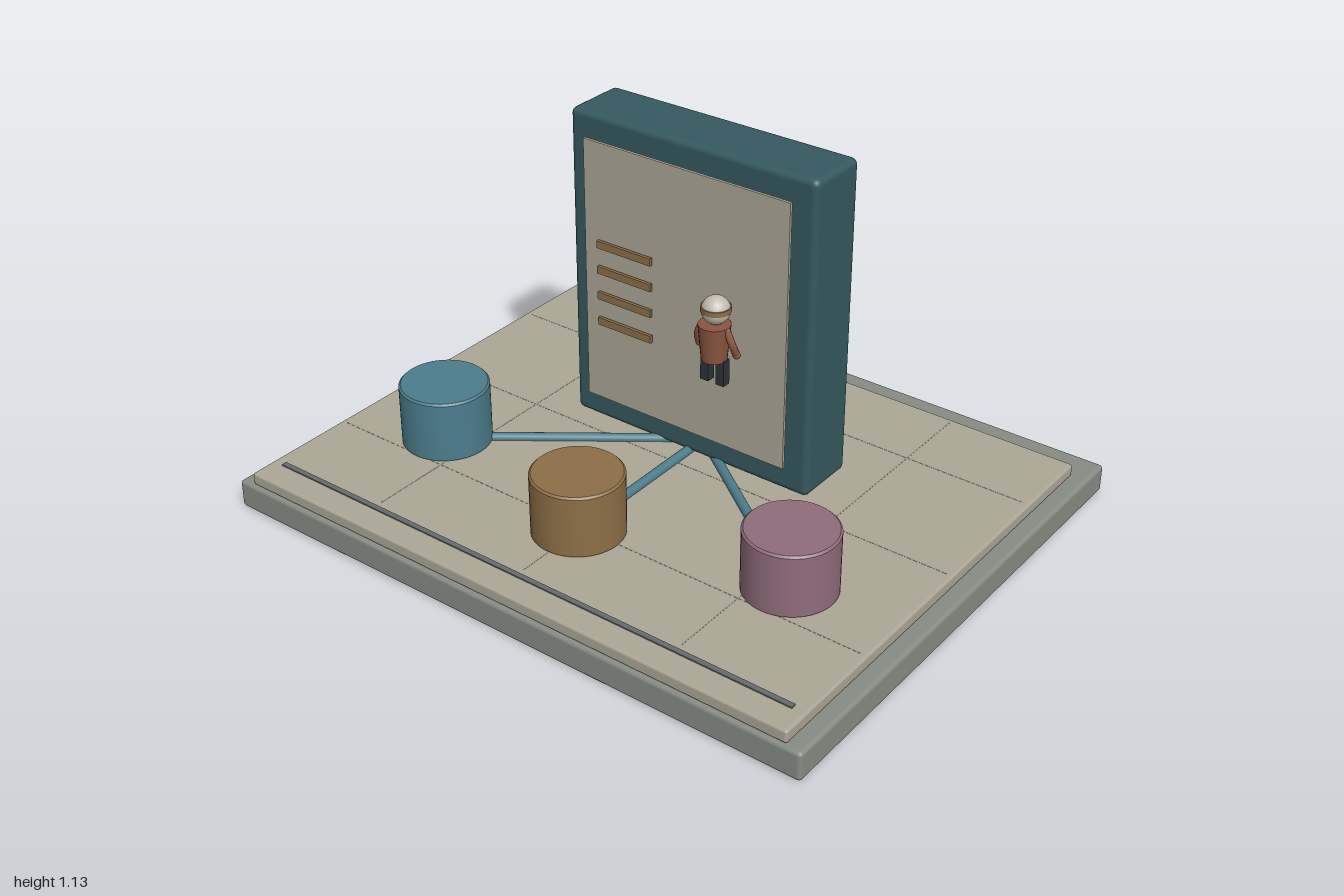
import * as THREE from 'three';
import { RoundedBoxGeometry } from 'three/addons/geometries/RoundedBoxGeometry.js';
import { toCreasedNormals } from 'three/addons/utils/BufferGeometryUtils.js';

const mat = (color) => new THREE.MeshStandardMaterial({ color });
const stone = mat(0x868c84), paper = mat(0xaca695), darkTeal = mat(0x34595f), teal = mat(0x4b7d8c);
const ochre = mat(0x8c6f47), mauve = mat(0x8f6c7a), rust = mat(0x8a5540), navy = mat(0x2b3238);
const skin = mat(0xc2bdb0), slate = mat(0x666b6c), seamGrey = mat(0x99947f);

function add(parent, name, geometry, material, x = 0, y = 0, z = 0) {
  const mesh = new THREE.Mesh(geometry, material);
  mesh.name = name;
  mesh.position.set(x, y, z);
  parent.add(mesh);
  return mesh;
}

// Box given by its minimum and maximum corners, with optional rounded edges
function block(parent, name, material, [x0, y0, z0], [x1, y1, z1], radius = 0) {
  const size = [x1 - x0, y1 - y0, z1 - z0];
  const geometry = radius ? new RoundedBoxGeometry(...size, 3, radius) : new THREE.BoxGeometry(...size);
  return add(parent, name, geometry, material, (x0 + x1) / 2, (y0 + y1) / 2, (z0 + z1) / 2);
}

// Rod between two points
function rod(parent, name, material, a, b, r0, r1 = r0) {
  const from = new THREE.Vector3(...a), to = new THREE.Vector3(...b);
  const dir = to.clone().sub(from);
  const mesh = add(parent, name, new THREE.CylinderGeometry(r1, r0, dir.length(), 16), material);
  mesh.position.copy(from).lerp(to, 0.5);
  mesh.quaternion.setFromUnitVectors(new THREE.Vector3(0, 1, 0), dir.normalize());
  return mesh;
}

// Drum with a slightly eased rim
function drumGeometry(r, h, bevel) {
  const points = [[0, 0], [r, 0], [r, h - bevel], [r - bevel, h], [0, h]].map((p) => new THREE.Vector2(...p));
  return toCreasedNormals(new THREE.LatheGeometry(points, 48), 0.5);
}

function createFigure() {
  const figure = new THREE.Group();
  figure.name = 'figure';
  add(figure, 'head', new THREE.SphereGeometry(0.043, 24, 16), skin, 0, 0.69, 0);
  add(figure, 'visor', new THREE.CylinderGeometry(0.0445, 0.0445, 0.016, 24), ochre, 0, 0.695, 0);
  // Coat, wider at the shoulders
  add(figure, 'coat', new THREE.CylinderGeometry(0.048, 0.038, 0.112, 20), rust, 0, 0.592, 0.006);
  for (const side of [-1, 1]) {
    const curve = new THREE.CatmullRomCurve3([
      new THREE.Vector3(side * 0.043, 0.638, 0.005),
      new THREE.Vector3(side * 0.06, 0.598, 0.003),
      new THREE.Vector3(side * 0.065, 0.56, -0.012),
    ]);
    add(figure, 'arm', new THREE.TubeGeometry(curve, 10, 0.011, 10), rust);
    add(figure, 'shoulder', new THREE.SphereGeometry(0.011, 10, 8), rust, side * 0.043, 0.638, 0.005);
    add(figure, 'hand', new THREE.SphereGeometry(0.012, 10, 8), rust, side * 0.065, 0.56, -0.012);
    block(figure, 'leg', navy, [side * 0.027 - 0.014, 0.46, -0.012], [side * 0.027 + 0.014, 0.54, 0.016]);
  }
  figure.position.x = 0.145;
  return figure;
}

export function createModel() {
  const model = new THREE.Group();
  model.name = 'kioskDisplay';

  // Stepped platform
  block(model, 'base', stone, [-1, 0, -0.81], [1, 0.09, 0.81], 0.012);
  block(model, 'floorPlate', paper, [-0.95, 0.09, -0.7], [0.95, 0.13, 0.8], 0.008);
  block(model, 'frontStrip', slate, [-0.91, 0.125, 0.703], [0.91, 0.134, 0.72]);

  // Fine floor seams
  for (const p of [-0.54, 0, 0.54]) {
    block(model, 'floorSeam', seamGrey, [p - 0.002, 0.125, -0.68], [p + 0.002, 0.1305, 0.68]);
    block(model, 'floorSeam', seamGrey, [-0.93, 0.125, p * 0.8 - 0.002], [0.93, 0.1305, p * 0.8 + 0.002]);
  }

  // Upright panel with floating screen and menu bars
  block(model, 'tower', darkTeal, [-0.425, 0.133, -0.27], [0.425, 1.135, -0.065], 0.02);
  block(model, 'screen', paper, [-0.357, 0.222, -0.049], [0.357, 1.064, -0.04]);
  for (const y of [0.495, 0.58, 0.665, 0.748]) {
    block(model, 'menuBar', ochre, [-0.302, y - 0.012, -0.034], [-0.107, y + 0.012, -0.024]);
  }

  model.add(createFigure());

  // Drums linked to the tower by floor pipes
  const drums = [[-0.625, 0.31, teal], [0, 0.445, ochre], [0.625, 0.31, mauve]];
  for (const [x, z, material] of drums) {
    add(model, 'drum', drumGeometry(0.136, 0.193, 0.006), material, x, 0.134, z);
    rod(model, 'pipe', teal, [x, 0.134, z], [0, 0.134, -0.15], 0.015);
  }
  return model;
}
